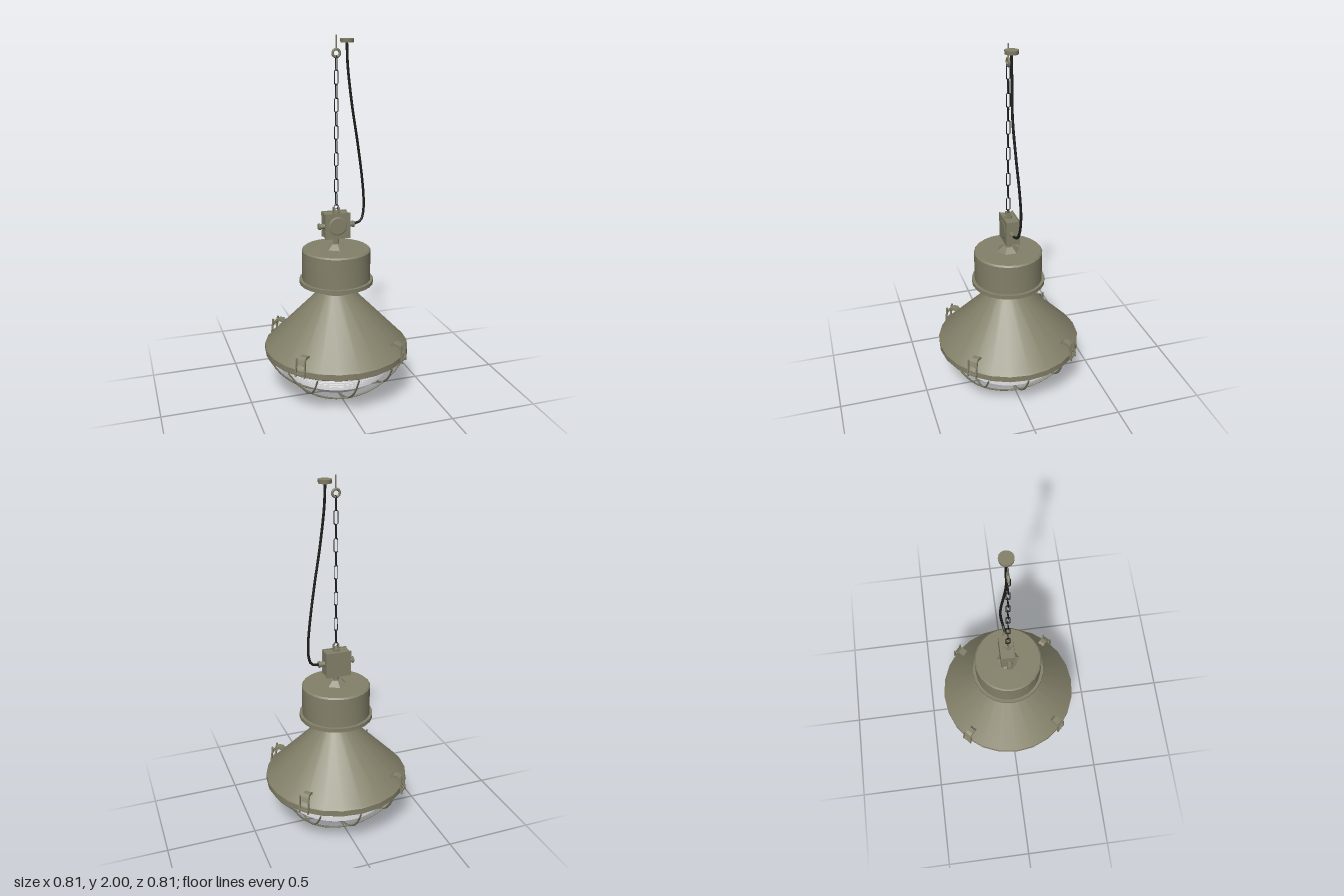
import * as THREE from 'three';
import { toCreasedNormals } from 'three/addons/utils/BufferGeometryUtils.js';

const mat = (name, color, side = THREE.FrontSide) => {
  const m = new THREE.MeshStandardMaterial({ color, side });
  m.name = name;
  return m;
};

export function createModel() {
  const olive = mat('olive paint', 0x838069);
  const glass = mat('pale glass', 0xe2e2e4, THREE.DoubleSide);
  const black = mat('black', 0x1c1c1a);

  const root = new THREE.Group();
  root.name = 'pendantLamp';
  const v3 = (p) => new THREE.Vector3(...p);
  const add = (name, geo, material, pos = [0, 0, 0], parent = root) => {
    const mesh = new THREE.Mesh(geo, material);
    mesh.name = name;
    mesh.position.set(...pos);
    parent.add(mesh);
    return mesh;
  };
  const lathe = (name, pts, material, seg = 24) => add(name,
    toCreasedNormals(new THREE.LatheGeometry(pts.map(p => new THREE.Vector2(...p)), seg), 0.5), material);
  const tube = (pts, radius, steps, sides = 6) => new THREE.TubeGeometry(
    new THREE.CatmullRomCurve3(pts.map(v3)), steps, radius, sides);
  const box = (name, size, pos, parent = root) =>
    add(name, new THREE.BoxGeometry(...size), olive, pos, parent);
  const cyl = (name, r1, r2, h, pos, seg = 16) =>
    add(name, new THREE.CylinderGeometry(r1, r2, h, seg), olive, pos);

  // Conical shade with rim and neck
  lathe('shade', [[0.34, 0.285], [0.365, 0.27], [0.405, 0.27], [0.405, 0.303], [0.392, 0.315],
    [0.095, 0.62], [0.095, 0.68]], olive);

  // Ballast drum with flange, stepped underside and lid groove
  lathe('ballastDrum', [[0.09, 0.68], [0.115, 0.68], [0.115, 0.673], [0.135, 0.673], [0.135, 0.685],
    [0.16, 0.685], [0.16, 0.673], [0.175, 0.673], [0.175, 0.685], [0.195, 0.685], [0.195, 0.67],
    [0.205, 0.67], [0.205, 0.692], [0.189, 0.692], [0.189, 0.858], [0.181, 0.866], [0, 0.866]], olive);
  const tag = box('drumPlate', [0.012, 0.045, 0.008], [-0.166, 0.795, 0.085]);
  tag.rotation.y = Math.atan2(-0.166, 0.085);

  // Glass bowl: spherical cap with a ribbed upper band
  const bowlR = (y) => Math.sqrt(0.401 ** 2 - (0.436 - y) ** 2);
  const bowl = [[0, 0.035]];
  for (const y of [0.038, 0.046, 0.06, 0.08, 0.105, 0.13]) bowl.push([bowlR(y), y]);
  for (let i = 0; i < 8; i++) {
    const y = 0.145 + i * 0.0165;
    const r = bowlR(y);
    bowl.push([r - 0.002, y], [r + 0.007, y + 0.003], [r + 0.007, y + 0.011], [r + 0.003, y + 0.0135]);
  }
  lathe('glassBowl', bowl, glass, 32);

  // Wire guard: three wires each way over a spherical cap, plus a top ring
  const guard = new THREE.Group();
  guard.name = 'wireGuard';
  root.add(guard);
  for (const turn of [0, Math.PI / 2]) {
    for (const a of [-0.21, 0, 0.21]) {
      const half = Math.sqrt(0.397 ** 2 - a * a);
      const pts = [];
      for (let i = 0; i <= 12; i++) {
        const t = half * (i / 6 - 1);
        pts.push([a, 0.439 - Math.sqrt(0.434 ** 2 - t * t - a * a), t]);
      }
      add('guardWire', tube(pts, 0.005, 24), olive, [0, 0, 0], guard).rotation.y = turn;
    }
  }
  add('guardRing', new THREE.TorusGeometry(0.394, 0.005, 6, 24).rotateX(Math.PI / 2), olive, [0, 0.268, 0], guard);

  // Four toggle latches around the rim; local z points outwards
  const leverShape = new THREE.Shape([[0.328, 0.352], [0.334, 0.346], [0.36, 0.362], [0.385, 0.357], [0.402, 0.335],
    [0.41, 0.338], [0.398, 0.364], [0.38, 0.375], [0.356, 0.376]].map(p => new THREE.Vector2(...p)));
  for (let i = 0; i < 4; i++) {
    const latch = new THREE.Group();
    latch.name = 'latch';
    latch.rotation.y = Math.PI / 4 + i * Math.PI / 2;
    root.add(latch);
    const lever = new THREE.ExtrudeGeometry(leverShape, { depth: 0.038, bevelEnabled: false });
    lever.translate(0, 0, -0.019).rotateY(-Math.PI / 2);
    add('latchLever', lever, olive, [0, 0, 0], latch);
    box('latchBase', [0.036, 0.022, 0.012], [0, 0.29, 0.404], latch);
    for (const s of [-1, 1]) {
      const arm = box('latchArm', [0.007, 0.1, 0.01], [s * 0.026, 0.322, 0.41], latch);
      arm.rotation.x = -0.12;
    }
    box('latchCrossbar', [0.058, 0.009, 0.012], [0, 0.29, 0.414], latch);
  }

  // Hexagonal mount and post under the junction box
  add('hexMount', toCreasedNormals(new THREE.CylinderGeometry(0.03, 0.065, 0.028, 6), 0.3), olive, [0, 0.879, 0]);
  cyl('mountPost', 0.016, 0.016, 0.04, [0, 0.91, 0]);

  // Junction box with lids and side glands
  box('junctionBox', [0.134, 0.134, 0.066], [0, 0.997, -0.008]);
  box('frontLid', [0.142, 0.142, 0.006], [0, 0.997, 0.027]);
  box('backLid', [0.142, 0.142, 0.006], [0, 0.997, -0.043]);
  cyl('lidDisc', 0.045, 0.055, 0.004, [0, 0.997, 0.031], 20).rotation.x = Math.PI / 2;
  for (const s of [-1, 1]) {
    cyl('gland', 0.014, 0.014, 0.03, [s * 0.08, 0.995, 0], 12).rotation.z = Math.PI / 2;
    cyl('glandNut', 0.018, 0.018, 0.012, [s * 0.096, 0.995, 0], 6).rotation.z = Math.PI / 2;
  }

  // Top bracket and hook holding the chain
  cyl('bracketBase', 0.02, 0.02, 0.012, [0, 1.07, 0], 12);
  for (const s of [-1, 1]) box('bracketProng', [0.007, 0.034, 0.026], [s * 0.013, 1.08, 0]);
  add('hookRing', new THREE.TorusGeometry(0.012, 0.0025, 6, 12), black, [0, 1.1, 0]);

  // Chain: rings stretched into oval links, alternately turned
  const link = new THREE.TorusGeometry(0.0105, 0.0027, 6, 8).rotateZ(Math.PI / 8);
  const lp = link.attributes.position;
  for (let i = 0; i < lp.count; i++) lp.setY(i, lp.getY(i) + Math.sign(lp.getY(i)) * 0.027);
  const chain = new THREE.Group();
  chain.name = 'chain';
  root.add(chain);
  for (let k = 0; k < 11; k++) {
    add('chainLink', link, black, [0, 1.86 - k * 0.0715, 0], chain).rotation.y = k % 2 ? 0 : Math.PI / 2;
  }

  // Ceiling eye and its screw
  add('ceilingEye', new THREE.TorusGeometry(0.0195, 0.007, 8, 16), olive, [0, 1.91, 0]);
  cyl('eyeScrew', 0.004, 0.004, 0.068, [0, 1.966, 0], 8);

  // Ceiling rose and power cable
  cyl('ceilingRose', 0.036, 0.034, 0.02, [0.058, 1.972, 0], 20);
  add('powerCable', tube([[0.057, 1.965, 0], [0.062, 1.85, 0], [0.085, 1.65, 0.003], [0.12, 1.45, -0.005],
    [0.152, 1.25, -0.017], [0.164, 1.13, -0.02], [0.16, 1.05, -0.015], [0.142, 1.008, -0.008],
    [0.095, 0.995, 0]], 0.0072, 48, 8), black);

  return root;
}
